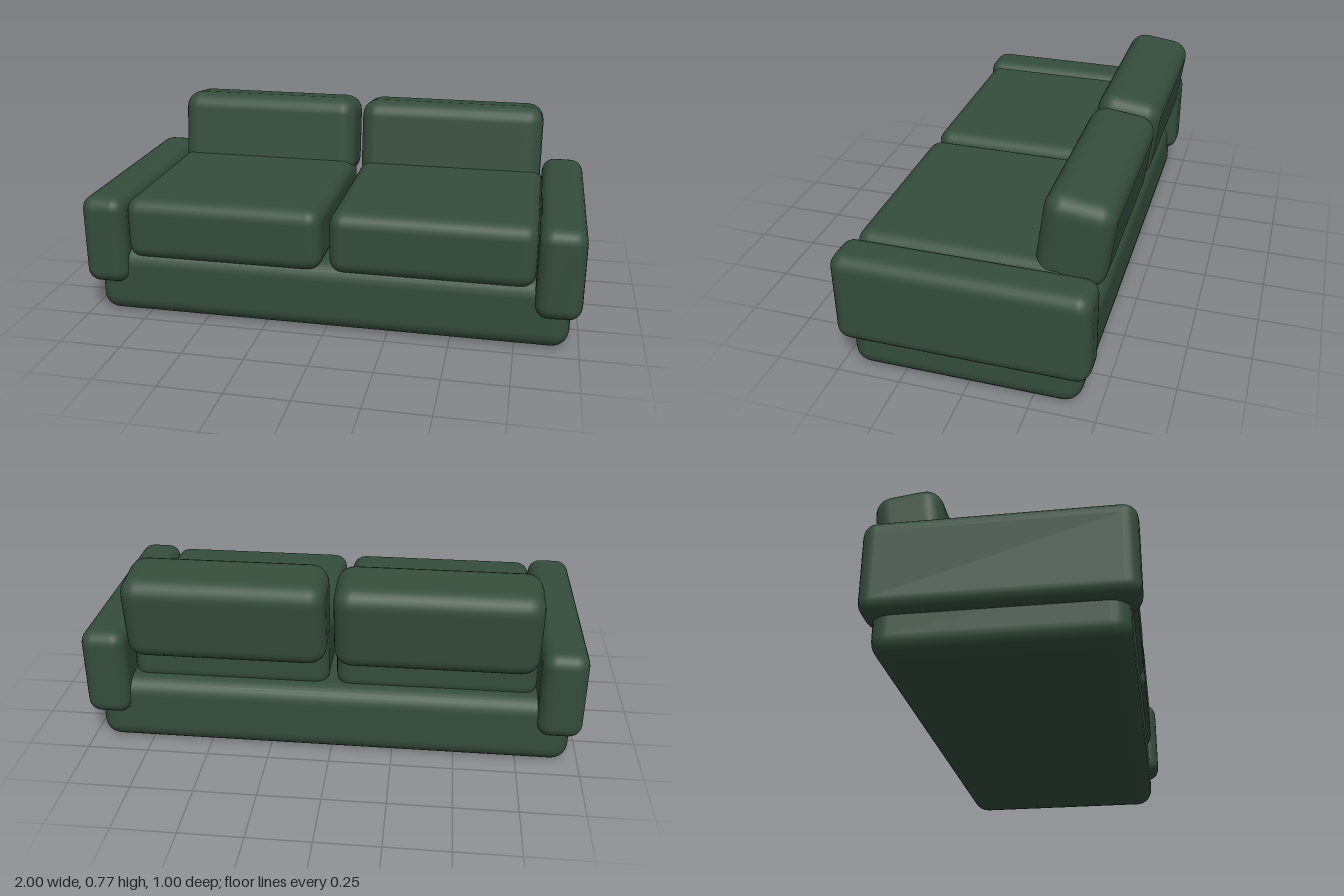
import * as THREE from 'three';
import { RoundedBoxGeometry } from 'three/addons/geometries/RoundedBoxGeometry.js';

export function createModel() {
  const sofa = new THREE.Group();
  sofa.name = 'sofa';
  const fabric = new THREE.MeshStandardMaterial({ color: 0x354d3c });
  fabric.name = 'dark green fabric';

  // Soft upholstered block given by its size, centre and edge radius
  function block(name, size, centre, radius, tilt = 0) {
    const mesh = new THREE.Mesh(new RoundedBoxGeometry(...size, 3, radius), fabric);
    mesh.name = name;
    mesh.position.set(...centre);
    mesh.rotation.x = tilt;
    sofa.add(mesh);
  }

  // Low plinth under everything
  block('base', [1.92, 0.285, 0.89], [0, 0.1425, 0.015], 0.07);

  for (const [side, s] of [['left', 1], ['right', -1]]) {
    block(side + 'Arm', [0.18, 0.37, 0.97], [s * 0.91, 0.325, 0.015], 0.055);
    block(side + 'SeatCushion', [0.805, 0.257, 0.835], [s * 0.4175, 0.3785, 0.0575], 0.058);
    // Back cushion leans backwards
    block(side + 'BackCushion', [0.797, 0.354, 0.265], [s * 0.4135, 0.59, -0.354], 0.07,
      THREE.MathUtils.degToRad(-7.5));
  }
  return sofa;
}
